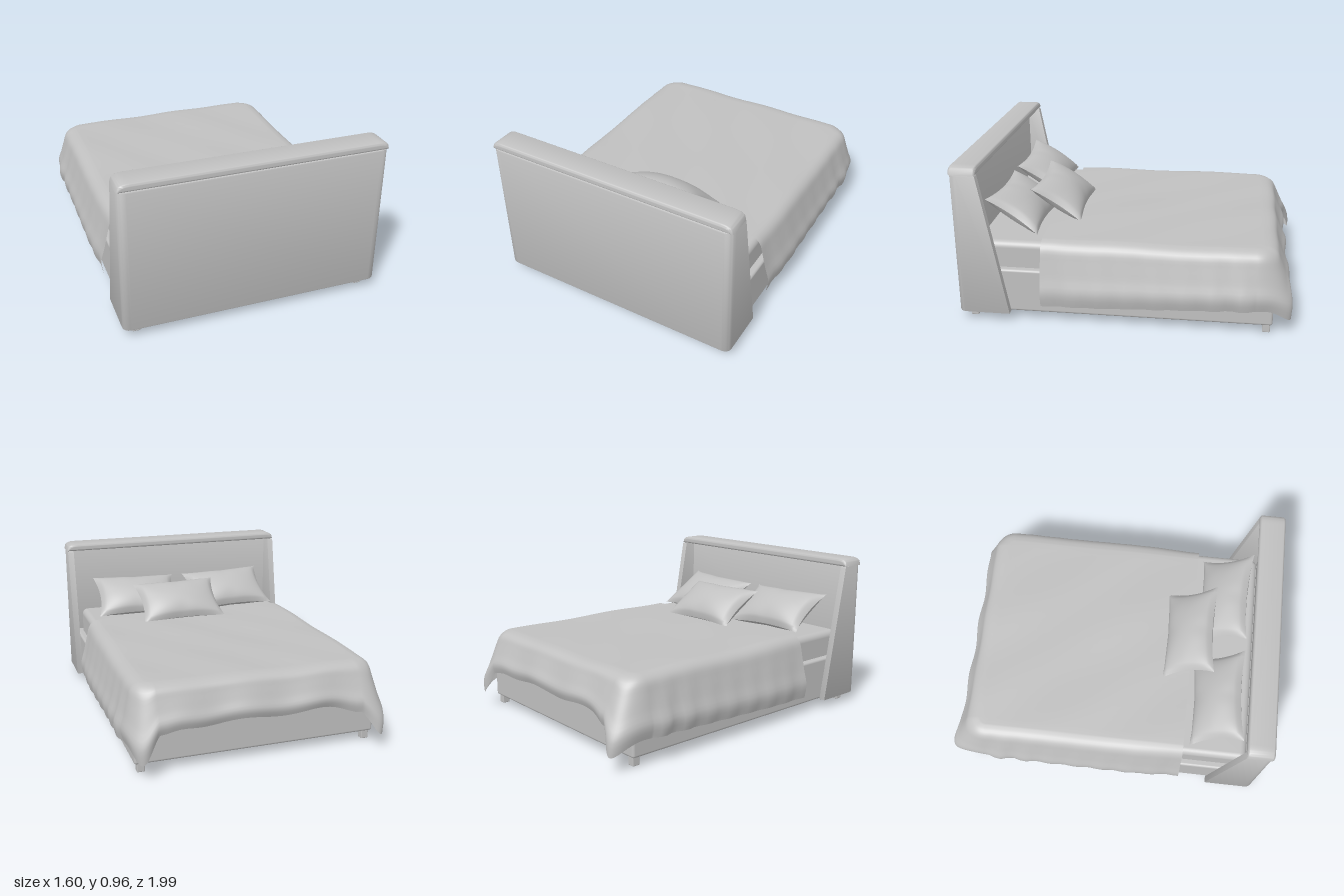
import * as THREE from 'three';
import { mergeGeometries, toCreasedNormals } from 'three/addons/utils/BufferGeometryUtils.js';
import { RoundedBoxGeometry } from 'three/addons/geometries/RoundedBoxGeometry.js';

const fabric = new THREE.MeshStandardMaterial({ color: 0xc0c0c0, side: THREE.DoubleSide });
fabric.name = 'light grey';

function part(name, geometry, x = 0, y = 0, z = 0) {
  const mesh = new THREE.Mesh(geometry, fabric);
  mesh.name = name;
  mesh.position.set(x, y, z);
  return mesh;
}

// U-shaped plan extruded upward; the wing tips lean back as they rise
function headboardGeometry() {
  const b = 0.008, w = 0.775 - b, back = 1 - b, tip = 0.69 + b, inner = 0.735 + b, panel = 0.92 + b, r = 0.04;
  const s = new THREE.Shape();
  s.moveTo(-w, tip);
  s.lineTo(-inner, tip);
  s.lineTo(-inner, panel);
  s.lineTo(inner, panel);
  s.lineTo(inner, tip);
  s.lineTo(w, tip);
  s.lineTo(w, back - r);
  s.quadraticCurveTo(w, back, w - r, back);
  s.lineTo(-w + r, back);
  s.quadraticCurveTo(-w, back, -w, back - r);
  s.closePath();
  const geo = new THREE.ExtrudeGeometry(s, {
    depth: 0.86 - 2 * b, bevelThickness: b, bevelSize: b, bevelSegments: 2, curveSegments: 8,
  });
  geo.rotateX(Math.PI / 2).translate(0, 0.91 - b, 0);
  const p = geo.attributes.position;
  for (let i = 0; i < p.count; i++) {
    if (p.getZ(i) < 0.8) p.setZ(i, p.getZ(i) + ((p.getY(i) - 0.05) / 0.86) * 0.155);
  }
  return toCreasedNormals(geo, 0.7);
}

// Padded roll along the top of the headboard
function capGeometry() {
  const b = 0.018, w = 0.775 - b, y0 = 0.905 + b, y1 = 0.957 - b;
  const s = new THREE.Shape();
  s.moveTo(-w, y0);
  s.lineTo(w, y0);
  s.quadraticCurveTo(w - 0.005, y1, w - 0.05, y1);
  s.lineTo(-w + 0.05, y1);
  s.quadraticCurveTo(-w + 0.005, y1, -w, y0);
  const geo = new THREE.ExtrudeGeometry(s, {
    depth: 0.16 - 2 * b, bevelThickness: b, bevelSize: b, bevelSegments: 5, curveSegments: 10,
  });
  geo.translate(0, 0, 0.84 + b);
  return toCreasedNormals(geo, 0.8);
}

// Two puffed sheets with pinched edges and pointed corners
function pillowGeometry(width, length, thick) {
  const half = (flip) => {
    const geo = new THREE.PlaneGeometry(2, 2, 28, 22);
    const p = geo.attributes.position;
    for (let i = 0; i < p.count; i++) {
      const u = p.getX(i), v = p.getY(i);
      const puff = Math.pow(Math.max(0, (1 - u * u) * (1 - v * v)), 0.5);
      const crease = 1 + 0.06 * Math.sin(7 * u + 3 * v) * Math.abs(u * v) - 0.12 * Math.exp(-u * u * 30) * v * v;
      p.setXYZ(i,
        (width / 2) * u * (1 - 0.1 * (1 - v * v)),
        (length / 2) * v * (1 - 0.14 * (1 - u * u)),
        thick * puff * crease);
    }
    if (flip) geo.rotateY(Math.PI);
    geo.computeVertexNormals();
    return geo;
  };
  return mergeGeometries([half(false), half(true)]);
}

// Outline of the duvet's flat top, from the left head end round the foot to the right head end
function duvetOutline() {
  const half = [];
  for (let i = 0; i < 30; i++) half.push({ x: 0.64, z: 0.505 - (1.245 * i) / 30, a: 0 });
  for (let i = 0; i <= 20; i++) {
    const a = (Math.PI / 2) * (i / 20);
    half.push({ x: 0.6 + 0.04 * Math.cos(a), z: -0.74 - 0.04 * Math.sin(a), a });
  }
  for (let i = 1; i <= 16; i++) half.push({ x: 0.6 * (1 - i / 16), z: -0.78, a: Math.PI / 2 });
  const other = half.slice(0, -1).reverse().map((q) => ({ x: -q.x, z: q.z, a: Math.PI - q.a }));
  return [...half, ...other];
}

// Duvet lofted from a centre line to the outline, then down a hanging skirt
function duvetGeometry() {
  const outline = duvetOutline();
  const profile = new THREE.SplineCurve([
    [0, 0], [0.045, 0.03], [0.08, 0.12], [0.1, 0.3], [0.125, 0.55], [0.15, 0.78], [0.135, 1],
  ].map(([o, h]) => new THREE.Vector2(o, h)));
  const inner = 16, skirt = 20, rows = inner + skirt + 1;
  const topY = (x, z) => 0.499 + 0.003 * Math.sin(5 * x + 4 * z) * Math.cos(4 * z - 3 * x)
    + 0.002 * Math.sin(13 * x - 9 * z);
  const pos = [], index = [];
  outline.forEach((q, i) => {
    const nx = Math.cos(q.a), nz = -Math.sin(q.a);
    const foot = Math.sin(q.a) ** 2;
    const deg = (q.x > 0 ? q.a : Math.PI - q.a) * 180 / Math.PI;
    // the corner fold spreads a little onto the straight edges
    const run = Math.max(0, q.z + 0.74) * 250 + Math.max(0, 0.6 - Math.abs(q.x)) * 250;
    const fold = Math.exp(-(((deg - 55) / 27) ** 2)) * Math.exp(-((run / 25) ** 2));
    const sideHem = 0.11 + (0.5 - q.z) * 0.04;
    const footHem = 0.265 + 0.012 * Math.sin(q.x * 14);
    const hem = THREE.MathUtils.lerp(THREE.MathUtils.lerp(sideHem, footHem, foot), 0.09, fold);
    const flare = (q.x > 0 ? 0.065 : 0.105) * fold;
    for (let j = 0; j < rows; j++) {
      if (j <= inner) {
        const t = j / inner, zs = Math.max(q.z, -0.5);
        const x = q.x * t, z = zs + (q.z - zs) * t;
        pos.push(x, topY(x, z), z);
        continue;
      }
      const c = profile.getPoint((j - inner) / skirt);
      const towardFoot = THREE.MathUtils.smoothstep(-q.z, 0.3, 0.75);
      const ripple = c.y * ((1 - foot) * (0.004 + 0.009 * towardFoot) * Math.sin(q.z * 38 + c.y * 2)
        + foot * 0.008 * Math.sin(q.x * 17));
      const headTuck = 1 - 0.12 * (1 - foot) * THREE.MathUtils.smoothstep(q.z, 0.2, 0.5);
      const o = c.x * headTuck + ripple * (1 - fold);
      const y0 = topY(q.x, q.z);
      pos.push(
        q.x + nx * o + Math.sign(q.x) * flare * 0.12 * c.y,
        y0 + (hem - y0) * c.y,
        q.z + nz * o - flare * c.y);
    }
    if (i === 0) return;
    for (let j = 0; j < rows - 1; j++) {
      const a = (i - 1) * rows + j, b = i * rows + j;
      index.push(a, a + 1, b, a + 1, b + 1, b);
    }
  });
  const geo = new THREE.BufferGeometry();
  geo.setAttribute('position', new THREE.Float32BufferAttribute(pos, 3));
  geo.setIndex(index);
  geo.computeVertexNormals();
  return geo;
}

export function createModel() {
  const bed = new THREE.Group();
  bed.name = 'bed';

  bed.add(part('headboard', headboardGeometry()));
  bed.add(part('headboardCap', capGeometry()));
  bed.add(part('bedFrame', new RoundedBoxGeometry(1.46, 0.268, 1.79, 3, 0.015), 0, 0.186, 0.045));
  bed.add(part('mattress', new RoundedBoxGeometry(1.38, 0.2, 1.71, 5, 0.04), 0, 0.38, 0.045));
  bed.add(part('duvet', duvetGeometry()));

  // Feet under the four corners
  for (const x of [-0.69, 0.69]) {
    for (const z of [-0.815, 0.925]) {
      bed.add(part('foot', new RoundedBoxGeometry(0.045, 0.06, 0.045, 2, 0.005), x, 0.03, z));
    }
  }

  // Two pillows against the headboard and one resting in front
  const pillows = [
    ['rightPillow', -0.345, 0.6, 0.685, 0.04],
    ['leftPillow', 0.325, 0.6, 0.685, -0.04],
    ['frontPillow', 0.075, 0.592, 0.485, 0.015],
  ];
  for (const [name, x, y, z, turn] of pillows) {
    const pillow = part(name, pillowGeometry(0.58, 0.37, 0.085), x, y, z);
    pillow.rotation.set(-Math.PI / 2 - 0.58, 0, turn);
    pillow.scale.y = -1;
    pillow.scale.x = -1;
    bed.add(pillow);
  }
  return bed;
}
